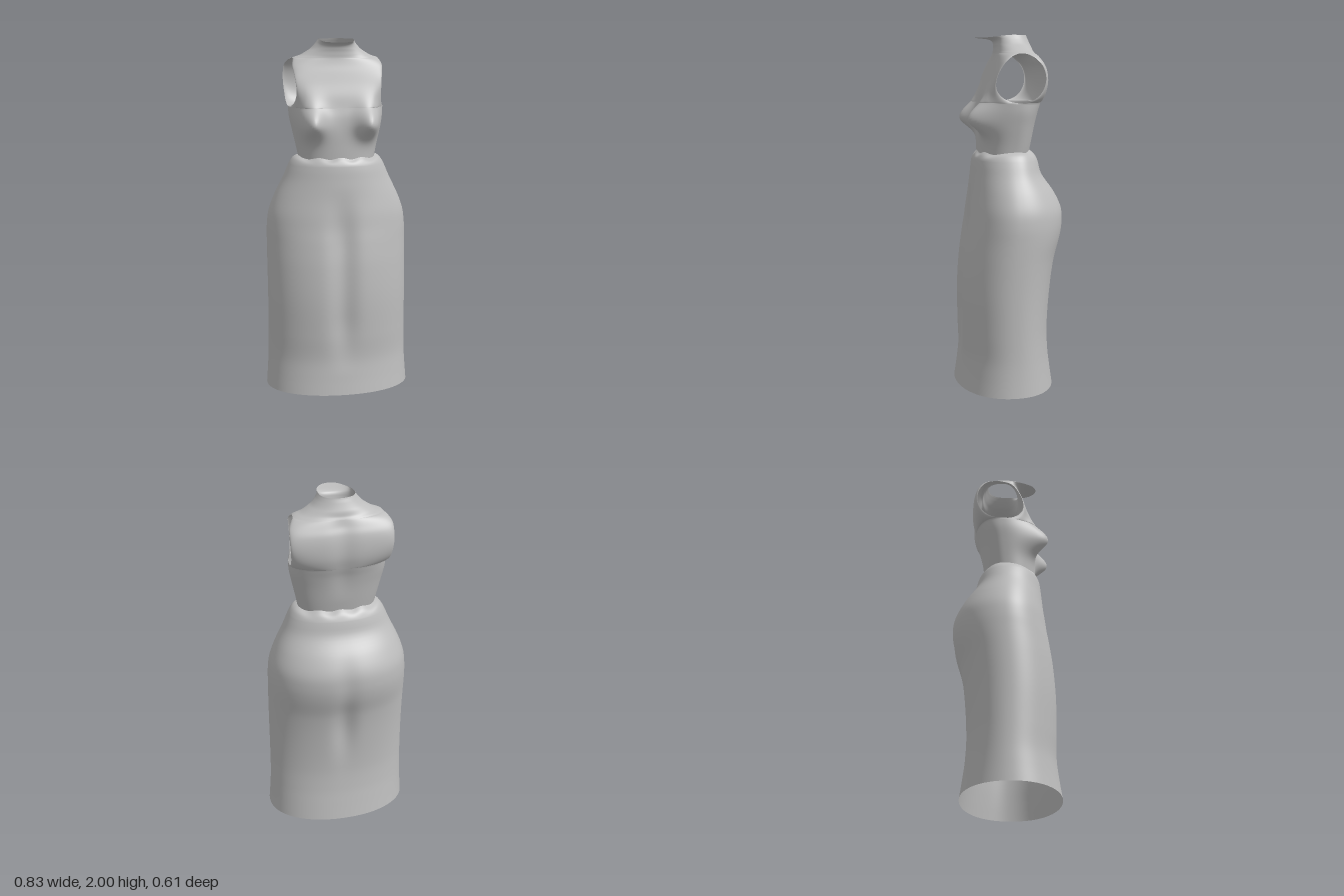
import * as THREE from 'three';
import { mergeVertices } from 'three/addons/utils/BufferGeometryUtils.js';

const bump = (d, s) => Math.exp(-(d / s) * (d / s));
const smooth = (v, a, b) => THREE.MathUtils.smoothstep(v, a, b);

// Smooth interpolation through rows of [y, ...values]
function sample(rows, y) {
  let i = 0;
  while (i < rows.length - 2 && y > rows[i + 1][0]) i++;
  const slope = (k, c) => {
    const a = rows[Math.max(k - 1, 0)], b = rows[Math.min(k + 1, rows.length - 1)];
    return (b[c] - a[c]) / (b[0] - a[0]);
  };
  const p = rows[i], q = rows[i + 1], d = q[0] - p[0];
  const t = THREE.MathUtils.clamp((y - p[0]) / d, 0, 1), t2 = t * t, t3 = t2 * t;
  return p.slice(1).map((v, k) =>
    v * (2 * t3 - 3 * t2 + 1) + q[k + 1] * (3 * t2 - 2 * t3) +
    d * (slope(i, k + 1) * (t3 - 2 * t2 + t) + slope(i + 1, k + 1) * (t3 - t2)));
}

// Lofts a front and a back panel, joined wherever their side edges meet
function loft(levels, cols, point) {
  const pos = [], index = [];
  for (const side of [1, -1]) {
    const base = pos.length / 3;
    levels.forEach((y, r) => {
      for (let c = 0; c <= cols; c++) {
        pos.push(...point(y, (c / cols - 0.5) * Math.PI, side));
        if (r && c) {
          const d = base + r * (cols + 1) + c, a = d - cols - 1;
          index.push(a - 1, a, d, a - 1, d, d - 1);
        }
      }
    });
  }
  const g = new THREE.BufferGeometry();
  g.setAttribute('position', new THREE.Float32BufferAttribute(pos, 3));
  g.setIndex(index);
  const merged = mergeVertices(g, 1e-4);
  merged.computeVertexNormals();
  return merged;
}

const span = (a, b, n) => Array.from({ length: n + 1 }, (_, i) => a + (b - a) * i / n);

// y, half width, side z, front z, back z
const SKIRT = [
  [0, 0.416, 0.03, 0.31, -0.25], [0.1, 0.409, 0.025, 0.295, -0.235],
  [0.2, 0.404, 0.02, 0.285, -0.222], [0.34, 0.402, 0.02, 0.29, -0.216],
  [0.55, 0.402, 0.02, 0.292, -0.231], [0.735, 0.403, 0.01, 0.28, -0.257],
  [0.87, 0.403, 0, 0.262, -0.294], [0.95, 0.401, 0, 0.248, -0.306],
  [1.03, 0.39, 0, 0.237, -0.3], [1.12, 0.357, 0, 0.224, -0.257],
  [1.22, 0.308, 0, 0.213, -0.186], [1.3, 0.273, 0, 0.204, -0.163],
  [1.33, 0.252, 0, 0.192, -0.145], [1.35, 0.218, 0, 0.176, -0.115],
];

const BODICE = [
  [1.335, 0.217, 0.01, 0.175, -0.113], [1.4, 0.23, 0, 0.177, -0.126],
  [1.5, 0.252, -0.01, 0.178, -0.145], [1.57, 0.266, -0.02, 0.172, -0.162],
  [1.625, 0.27, -0.02, 0.16, -0.18], [1.69, 0.272, -0.02, 0.145, -0.195],
  [1.76, 0.277, -0.028, 0.12, -0.196], [1.82, 0.279, -0.034, 0.1, -0.186],
  [1.86, 0.275, -0.034, 0.086, -0.168], [1.895, 0.245, -0.034, 0.077, -0.15],
  [1.91, 0.202, -0.03, 0.076, -0.14], [1.94, 0.15, -0.02, 0.077, -0.13],
  [1.965, 0.116, -0.012, 0.088, -0.116], [1.978, 0.103, -0.01, 0.125, -0.108],
  [1.985, 0.098, -0.01, 0.187, -0.105],
];

const HOLE_MID = 1.76, HOLE_R = 0.135;

function skirtPoint(y, a, side) {
  const [w, zs, zf, zb] = sample(SKIRT, y);
  const c = Math.max(Math.cos(a), 0), s = Math.sin(a);
  const x = side * w * Math.sign(s) * Math.abs(s) ** 0.95;
  let z = zs + ((side > 0 ? zf : zb) - zs) * c ** 0.92;
  // Hollow between the legs, front and back
  if (side > 0) z -= 0.03 * bump(x, 0.07) * smooth(y, 0.1, 0.45) * (1 - smooth(y, 0.85, 1.2));
  else z += bump(x, 0.06) * (0.03 * bump(y - 0.65, 0.2) + 0.01 * bump(y - 0.98, 0.12));
  // Gathered waist edge
  const wave = smooth(y, 1.31, 1.35) * (0.006 * Math.cos(x * 52) - 0.03 * z);
  return [x, y + wave, z];
}

function bodicePoint(y, a, side) {
  const [w, zs, zf, zb] = sample(BODICE, y);
  // Armhole: the panel edges part around the side line
  const t = (y - HOLE_MID) / HOLE_R;
  const h = Math.abs(t) < 0.9999 ? Math.sqrt(1 - t * t) * (1 - 0.15 * t) : 0;
  const edgeZ = zs + side * h * 0.133;
  const edgeX = w + h * (side > 0 ? -0.035 : 0.005);
  const c = Math.max(Math.cos(a), 0), s = Math.sin(a);
  const x = side * edgeX * Math.sign(s) * Math.abs(s) ** 0.95;
  let z = edgeZ + ((side > 0 ? zf : zb) - edgeZ) * c ** 0.85;
  if (side > 0) {
    // Bust
    const dy = y - 1.535;
    z += 0.112 * bump(Math.abs(x) - 0.168, 0.075) * bump(dy, dy < 0 ? 0.075 : 0.105) * Math.min(1, c * 1.6);
  } else {
    // Spine hollow
    z += 0.012 * bump(x, 0.06) * smooth(y, 1.4, 1.6) * (1 - smooth(y, 1.85, 1.93));
  }
  // Collar rises towards the back
  const lift = 0.015 * smooth(y, 1.94, 1.985) * smooth(-z, -0.15, 0.02);
  return [x, y + lift, z];
}

export function createModel() {
  const cloth = new THREE.MeshStandardMaterial({ color: 0xbdbdbd, side: THREE.DoubleSide });
  cloth.name = 'grey cloth';
  const group = new THREE.Group();
  group.name = 'dress';

  const skirt = new THREE.Mesh(loft([...span(0, 1.3, 64), ...span(1.305, 1.35, 9)], 72, skirtPoint), cloth);
  skirt.name = 'skirt';

  const low = HOLE_MID - HOLE_R, high = HOLE_MID + HOLE_R;
  const levels = [
    ...span(1.335, low, 26),
    ...span(0, Math.PI, 40).slice(1, -1).map(k => HOLE_MID - HOLE_R * Math.cos(k)),
    ...span(high, 1.96, 16), ...span(1.962, 1.985, 12),
  ];
  const bodice = new THREE.Mesh(loft(levels, 64, bodicePoint), cloth);
  bodice.name = 'bodice';

  group.add(skirt, bodice);
  return group;
}
